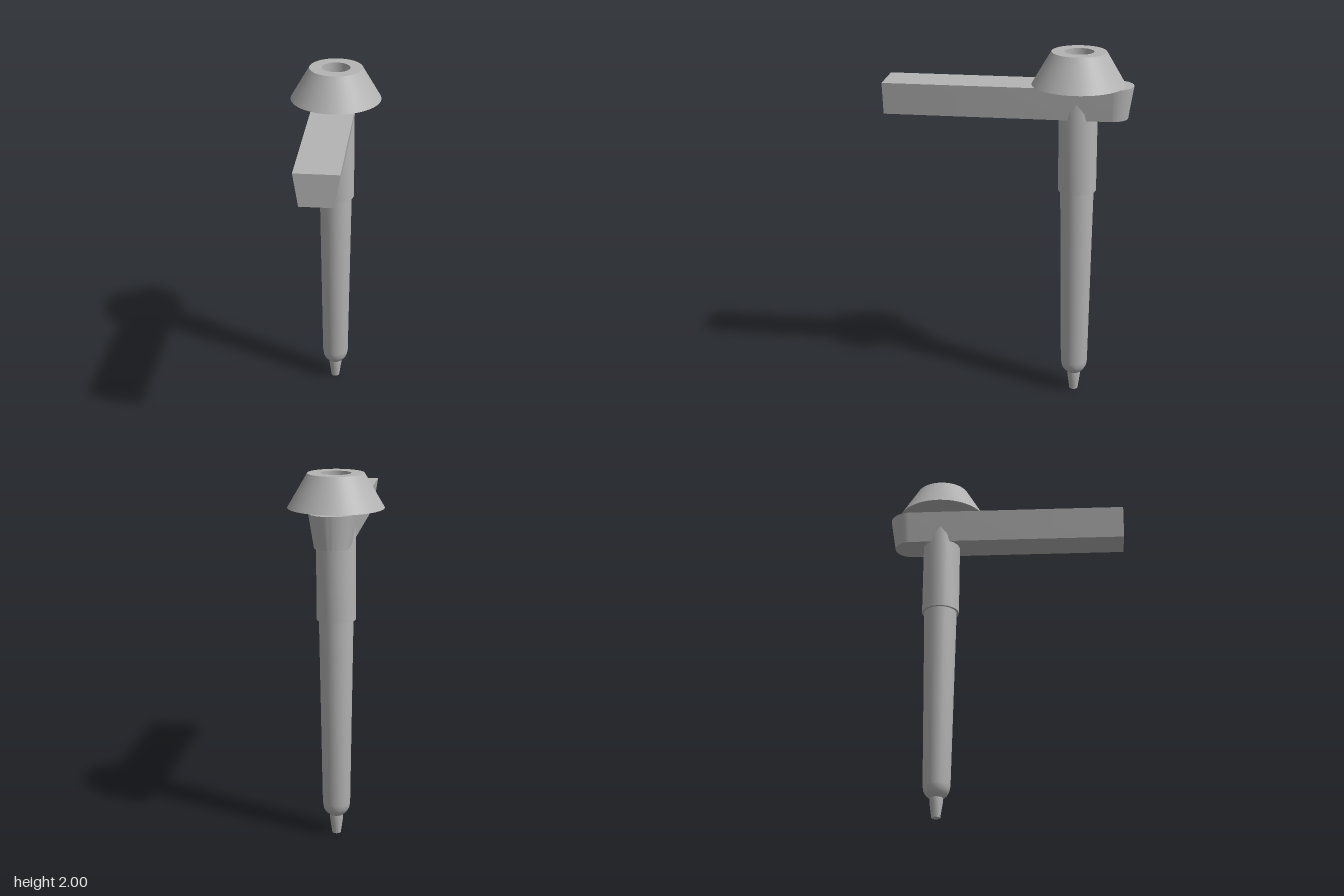
import * as THREE from 'three';
import { toCreasedNormals } from 'three/addons/utils/BufferGeometryUtils.js';

const AXIS_Z = -0.38;

export function createModel() {
  const group = new THREE.Group();
  const grey = new THREE.MeshStandardMaterial({ color: 0xb4b4b4 });
  grey.name = 'grey';

  const add = (name, geometry, crease = 0.6) => {
    const mesh = new THREE.Mesh(toCreasedNormals(geometry, crease), grey);
    mesh.name = name;
    group.add(mesh);
    return mesh;
  };

  // Turned parts share one axis; profiles run from bottom to top
  const turned = (name, profile, sides) => {
    const points = profile.map(([r, y]) => new THREE.Vector2(r, y));
    add(name, new THREE.LatheGeometry(points, sides)).position.z = AXIS_Z;
  };

  turned('tip', [[0, 0], [0.024, 0], [0.037, 0.09], [0.037, 0.13]], 16);
  turned('shaft', [
    [0, 0.11], [0.04, 0.11], [0.059, 0.128], [0.071, 0.15], [0.076, 0.18],
    [0.093, 1.22], [0.093, 1.23],
  ], 16);
  turned('sleeve', [[0, 1.22], [0.106, 1.22], [0.106, 1.78], [0, 1.78]], 16);

  // Conical cap with a blind hole in its top
  turned('cap', [
    [0, 1.82], [0.255, 1.82], [0.15, 2], [0.08, 2], [0.08, 1.83], [0, 1.83],
  ], 48);

  // Arm: square at the front, round at the back, narrowing downwards
  const outline = new THREE.Shape();
  outline.moveTo(-0.12, -0.68);
  outline.lineTo(0.12, -0.68);
  outline.lineTo(0.12, 0.56);
  outline.absarc(0, 0.56, 0.12, 0, Math.PI, false);
  outline.closePath();
  const arm = new THREE.ExtrudeGeometry(outline, { depth: 0.18, bevelEnabled: false, curveSegments: 20 });
  arm.rotateX(-Math.PI / 2).translate(0, 1.64, 0);
  const p = arm.attributes.position;
  for (let i = 0; i < p.count; i++) {
    if (p.getY(i) > 1.7) continue;
    p.setX(i, p.getX(i) * 0.76);
    if (p.getZ(i) < -0.56) p.setZ(i, -0.56 + (p.getZ(i) + 0.56) * 0.76);
  }
  add('arm', arm);

  return group;
}
